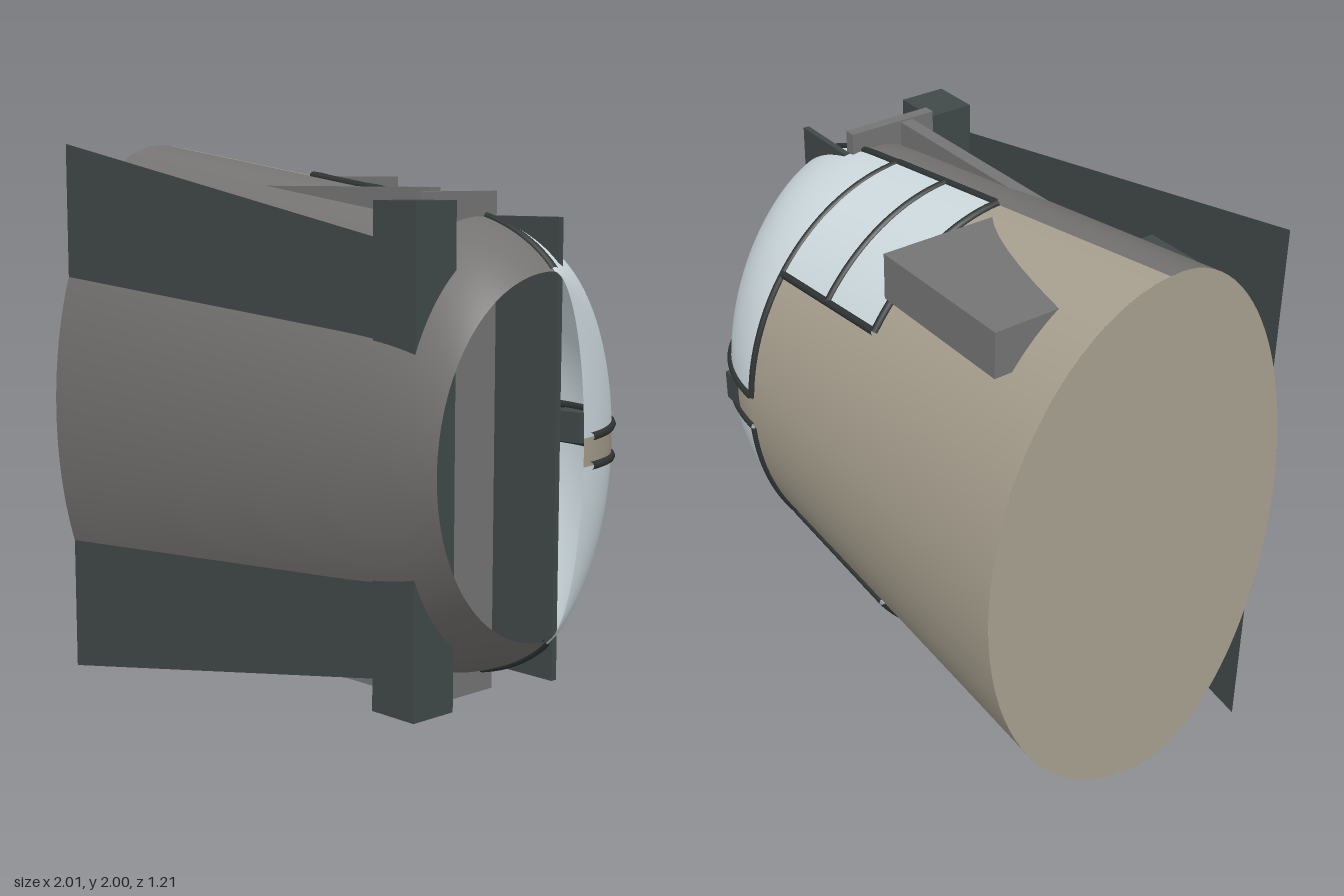
import * as THREE from 'three';

const mat = (name, color, side = THREE.FrontSide) => {
  const m = new THREE.MeshStandardMaterial({ color, side });
  m.name = name;
  return m;
};

// Hull measurements: the nose points to +x, the canopy faces -z, the sides are at +y and -y
const ZC = 0.09, DOME_X = 0.42;
const SEAM = 0.06, STRIP = Math.acos(0.08), PANE_TOP = 0.876;

function halfWidth(x) {
  const s = Math.max(0, (x - 0.4) / 0.6);
  return x < 0.4 ? 1 - 0.14 * (x + 1) : 0.804 - 0.084 * s - 0.13 * Math.pow(s, 3.5);
}
function upperHeight(x) {
  const u = Math.max(0, (x - DOME_X) / 0.585);
  return ZC + 0.6 * Math.sqrt(Math.max(0, 1 - u * u));
}
// Point on the hull: t = 0 is the +y side, PI/2 the crown, negative t the underside
function hull(x, t, k = 1) {
  const h = Math.sin(t) > 0 ? upperHeight(x) : 0.51;
  return new THREE.Vector3(x, 1 + k * halfWidth(x) * Math.cos(t), ZC - k * h * Math.sin(t));
}
const domeX = (u) => DOME_X + 0.58 * Math.sin(u * Math.PI / 2);
const fullX = (u) => (u < 0.5 ? -1 + 2 * u * (DOME_X + 1) : domeX(2 * u - 1));
const lerp = THREE.MathUtils.lerp;

// Surface from a rule f(u, v)
function grid(f, nu, nv) {
  const pos = [], idx = [];
  for (let i = 0; i <= nu; i++) {
    for (let j = 0; j <= nv; j++) pos.push(...f(i / nu, j / nv).toArray());
  }
  for (let i = 0; i < nu; i++) {
    for (let j = 0; j < nv; j++) {
      const a = i * (nv + 1) + j, b = a + nv + 1;
      idx.push(a, b, a + 1, b, b + 1, a + 1);
    }
  }
  const g = new THREE.BufferGeometry();
  g.setAttribute('position', new THREE.Float32BufferAttribute(pos, 3));
  g.setIndex(idx);
  g.computeVertexNormals();
  return g;
}

export function createModel() {
  const D = THREE.DoubleSide;
  const belly = mat('belly grey', 0x757371, D);
  const tan = mat('upper hull tan', 0xa9a190, D);
  const glass = mat('pale glass', 0xd0dce1, D);
  const frame = mat('frame black', 0x2f3534);
  const dark = mat('dark panel', 0x414949, D);
  const grey = mat('fitting grey', 0x757575);

  const model = new THREE.Group();
  const add = (name, geo, material) => {
    const m = new THREE.Mesh(geo, material);
    m.name = name;
    model.add(m);
    return m;
  };
  const box = (name, material, x0, x1, y0, y1, z0, z1) =>
    add(name, new THREE.BoxGeometry(x1 - x0, y1 - y0, z1 - z0), material)
      .position.set((x0 + x1) / 2, (y0 + y1) / 2, (z0 + z1) / 2);
  const patch = (name, material, xOf, t0, t1, nu, nv, k = 1) =>
    add(name, grid((u, v) => hull(xOf(u), lerp(t0, t1, v), k), nu, nv), material);
  const bar = (name, f, n) => {
    const pts = Array.from({ length: n + 1 }, (_, i) => f(i / n));
    add(name, new THREE.TubeGeometry(new THREE.CatmullRomCurve3(pts), n * 2, 0.014, 8), frame);
  };

  // Hull shell, open at the nose and closed at the rear
  patch('belly', belly, fullX, -Math.PI - SEAM, SEAM, 48, 64);
  patch('upperHull', tan, (u) => lerp(-1, DOME_X, u), SEAM, Math.PI - SEAM, 24, 64);
  patch('crownStrip', tan, domeX, STRIP, Math.PI - STRIP, 24, 4);
  const centre = new THREE.Vector3(-1, 1, ZC);
  add('rearCap', grid((u, v) => centre.clone().lerp(hull(-1, v * Math.PI * 2), u), 1, 96), tan);

  // Canopy and side windows, the same on both sides
  for (const side of [1, -1]) {
    const T = (t) => (side > 0 ? t : Math.PI - t);
    const range = (a, b) => (side > 0 ? [a, b] : [Math.PI - b, Math.PI - a]);
    patch('canopyDome', glass, domeX, ...range(SEAM, STRIP), 32, 32);
    for (const [x0, x1] of [[-0.16, 0.125], [0.125, DOME_X]]) {
      patch('sideWindow', glass, (u) => lerp(x0, x1, u), ...range(SEAM, PANE_TOP), 8, 20, 1.007);
    }
    for (const x of [-0.16, 0.125]) {
      bar('windowRib', (u) => hull(x, T(lerp(SEAM, PANE_TOP, u)), 1.004), 14);
    }
    bar('canopyArch', (u) => hull(DOME_X, T(lerp(SEAM, STRIP, u))), 24);
    bar('upperRail', (u) => hull(lerp(-0.16, DOME_X, u), T(PANE_TOP), 1.004), 8);
    bar('lowerRail', (u) => hull(lerp(-0.16, DOME_X, u), T(SEAM), 1.004), 8);
    bar('domeRail', (u) => hull(domeX(u * 0.92), T(SEAM)), 20);
    bar('crownRail', (u) => hull(domeX(u * 0.9), T(STRIP)), 24);
  }
  box('crownBlock', dark, 0.5, 0.635, 0.945, 1.055, -0.585, -0.5);

  // Flat side fins under the hull, with small hidden braces and side rails
  for (const side of [1, -1]) {
    const Y = (y) => 1 + side * y;
    const fin = new THREE.Shape([[-1, 1], [0.65, 0.7], [0.84, 0.7], [0.84, 0.3], [-1, 0.3]]
      .map(([x, y]) => new THREE.Vector2(x, Y(y))));
    add('sideFin', new THREE.ShapeGeometry(fin), dark).position.z = 0.53;
    const span = (a, b) => (side > 0 ? [Y(a), Y(b)] : [Y(b), Y(a)]);
    box('finBrace', dark, -0.61, -0.39, ...span(0.5, 0.72), 0.45, 0.529);
    box('sideRail', grey, -0.2, 0.61, ...span(0.72, 0.848), 0.19, 0.24);
  }

  // Cross members through the nose
  box('noseBeam', dark, 0.655, 0.84, 0.195, 1.81, 0.355, 0.532);
  box('crossBar', grey, 0.645, 0.687, 0.17, 1.835, 0.005, 0.355);
  box('noseVane', dark, 0.67, 0.95, 0.25, 1.755, -0.018, 0.004);

  // Equipment box on one side only
  box('equipmentBox', grey, -0.8, -0.22, 1.72, 1.88, -0.438, 0);
  return model;
}
